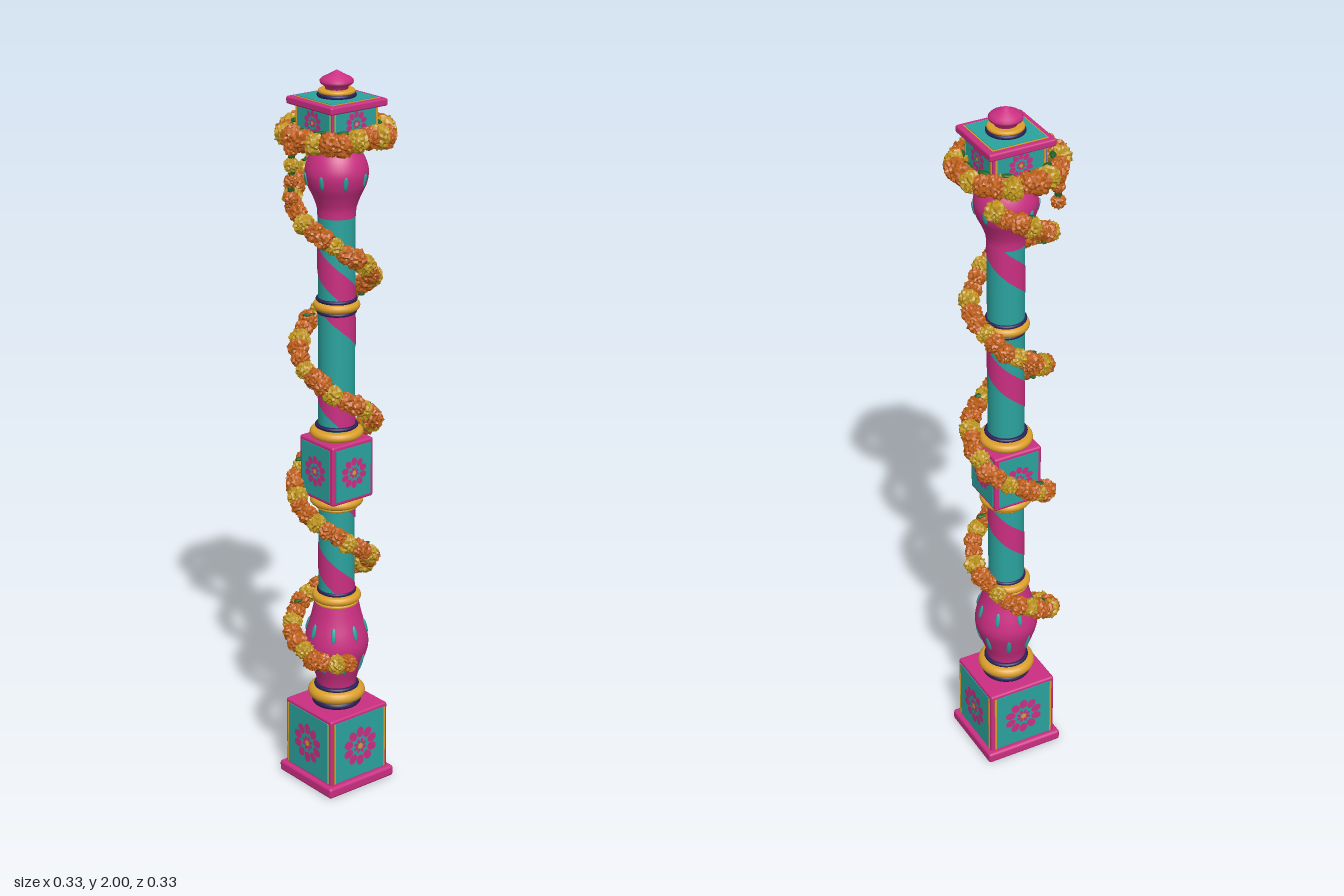
import * as THREE from 'three';
import { mergeGeometries } from 'three/addons/utils/BufferGeometryUtils.js';
import { RoundedBoxGeometry } from 'three/addons/geometries/RoundedBoxGeometry.js';

const mat = (name, color, flat = false) => {
  const m = new THREE.MeshStandardMaterial({ color, flatShading: flat });
  m.name = name;
  return m;
};

export function createModel() {
  const pink = mat('pink', 0xcb2f82), teal = mat('teal', 0x2ba39e), gold = mat('gold', 0xdb9f2a);
  const navy = mat('navy', 0x2a2058);
  const orange = mat('marigold orange', 0xc06018, true), yellow = mat('marigold yellow', 0xc0961e, true);
  const green = mat('leaf green', 0x1f6128);

  const model = new THREE.Group();
  model.name = 'garlandedColumn';
  const column = new THREE.Group();
  column.name = 'column';
  column.position.set(-0.005, 0, -0.0075);
  model.add(column);

  const add = (parent, name, geo, m, x = 0, y = 0, z = 0) => {
    const mesh = new THREE.Mesh(geo, m);
    mesh.name = name;
    mesh.position.set(x, y, z);
    parent.add(mesh);
    return mesh;
  };
  const block = (name, half, y0, y1, m, r = 0.006) =>
    add(column, name, new RoundedBoxGeometry(half * 2, y1 - y0, half * 2, 2, r), m, 0, (y0 + y1) / 2);
  const lathe = (name, pts, m) =>
    add(column, name, new THREE.LatheGeometry(pts.map(p => new THREE.Vector2(...p)), 40), m);
  const smoothLathe = (name, pts, m) =>
    lathe(name, new THREE.SplineCurve(pts.map(p => new THREE.Vector2(...p))).getPoints(28).map(p => [p.x, p.y]), m);
  // Rounded moulding with a half-circle rim
  const ring = (name, y, r, h, m) => {
    const pts = [[0, y - h / 2]];
    for (let i = 0; i <= 8; i++) {
      const a = -Math.PI / 2 + Math.PI * i / 8;
      pts.push([r - h / 2 + Math.cos(a) * h / 2, y + Math.sin(a) * h / 2]);
    }
    lathe(name, [...pts, [0, y + h / 2]], m);
  };

  // Ring of flat oval petals
  const petalRing = (n, radius, length, width) => {
    const petals = [];
    for (let i = 0; i < n; i++) {
      petals.push(new THREE.CircleGeometry(1, 12).scale(length, width, 1)
        .translate(radius, 0, 0).rotateZ((i + 0.5) * 2 * Math.PI / n));
    }
    return mergeGeometries(petals);
  };

  // Painted panel, upright gold lines and rosette, repeated on four faces of a block
  const decorate = (name, half, y0, y1, rose, margin, goldLines) => {
    const h = y1 - y0 - 2 * margin, w = 2 * (half - margin);
    for (let k = 0; k < 4; k++) {
      const face = new THREE.Group();
      face.name = name + 'Face';
      face.position.y = (y0 + y1) / 2;
      face.rotation.y = k * Math.PI / 2;
      column.add(face);
      add(face, 'tealPanel', new THREE.BoxGeometry(w, h, 0.003), teal, 0, 0, half + 0.0005);
      if (goldLines) for (const s of [-1, 1])
        add(face, 'goldLine', new THREE.BoxGeometry(0.005, h, 0.003), gold, s * (w / 2 - 0.0025), 0, half + 0.0015);
      add(face, 'rosettePetals', petalRing(10, rose * 0.74, rose * 0.27, rose * 0.215), pink, 0, 0, half + 0.004);
      add(face, 'rosetteHeart', petalRing(8, rose * 0.26, rose * 0.13, rose * 0.08), pink, 0, 0, half + 0.004);
      add(face, 'rosetteCentre', new THREE.CircleGeometry(rose * 0.15, 12), gold, 0, 0, half + 0.005);
    }
  };

  // Pedestal
  block('basePlate', 0.114, 0, 0.031, pink, 0.008);
  add(column, 'baseUnderside', new THREE.BoxGeometry(0.196, 0.004, 0.196), teal, 0, 0.0015);
  block('pedestal', 0.1, 0.025, 0.228, pink);
  decorate('pedestal', 0.1, 0.025, 0.228, 0.058, 0.01, true);
  ring('pedestalNavyRing', 0.236, 0.068, 0.02, navy);
  ring('pedestalGoldRing', 0.262, 0.079, 0.034, gold);
  ring('pedestalNeck', 0.282, 0.062, 0.012, navy);

  // Swelling vases
  const lower = [[0.052, 0.28], [0.058, 0.31], [0.072, 0.35], [0.087, 0.4], [0.084, 0.44], [0.07, 0.49], [0.06, 0.535]];
  const upper = [[0.05, 1.62], [0.052, 1.645], [0.063, 1.675], [0.077, 1.705], [0.083, 1.738], [0.075, 1.77], [0.06, 1.797], [0.05, 1.82]];
  smoothLathe('lowerVase', lower, pink);
  smoothLathe('upperVase', upper, pink);
  // Slim teal leaves laid on the vases
  const leaves = (name, n, r, y, h, tilt, turn) => {
    for (let i = 0; i < n; i++) {
      const pivot = new THREE.Group();
      pivot.name = name;
      pivot.rotation.y = turn + i * 2 * Math.PI / n;
      column.add(pivot);
      const leaf = add(pivot, name, new THREE.SphereGeometry(1, 10, 8), teal, 0, y, r);
      leaf.scale.set(0.007, h, 0.004);
      leaf.rotation.x = tilt;
    }
  };
  leaves('lowerVaseLeaf', 8, 0.0765, 0.362, 0.028, 0.29, Math.PI / 8);
  leaves('lowerVaseUpperLeaf', 8, 0.0795, 0.46, 0.021, -0.28, 0);
  leaves('upperVaseLeaf', 8, 0.0815, 1.722, 0.019, 0.2, Math.PI / 8);

  // Shafts, each with a winding pink stripe
  const shaft = (y0, y1, stripeY) => {
    const r = 0.049;
    add(column, 'shaft', new THREE.CylinderGeometry(r, r, y1 - y0, 40), teal, 0, (y0 + y1) / 2);
    const geo = new THREE.PlaneGeometry(1, 1, 16, 48), p = geo.attributes.position;
    for (let i = 0; i < p.count; i++) {
      const y = y0 + (p.getY(i) + 0.5) * (y1 - y0);
      const a = 2 * Math.PI * (y - stripeY) / 0.27 - p.getX(i) * 1.85;
      p.setXYZ(i, Math.cos(a) * (r + 0.0015), y, Math.sin(a) * (r + 0.0015));
    }
    geo.computeVertexNormals();
    add(column, 'shaftStripe', geo, pink);
  };
  shaft(0.54, 0.83, 0.58);
  shaft(1.03, 1.38, 1.07);
  shaft(1.38, 1.63, 1.42);

  // Ring mouldings
  for (const [y, r] of [[0.55, 0.067], [0.833, 0.072], [1.027, 0.072], [1.38, 0.062]]) ring('goldRing', y, r, 0.024, gold);
  for (const [y, r] of [[0.534, 0.061], [0.816, 0.058], [1.806, 0.06]]) ring('thinGoldRing', y, r, 0.01, gold);
  for (const [y, r] of [[0.567, 0.054], [1.047, 0.058], [1.397, 0.055], [1.363, 0.053]]) ring('navyRing', y, r, 0.01, navy);

  // Middle block
  block('middleBlock', 0.07, 0.845, 1.013, pink);
  decorate('middleBlock', 0.07, 0.845, 1.013, 0.043, 0.011, false);

  // Capital
  ring('capitalGoldRing', 1.822, 0.064, 0.022, gold);
  block('capitalBlock', 0.075, 1.83, 1.915, pink, 0.004);
  decorate('capital', 0.075, 1.835, 1.913, 0.034, 0.005, true);
  block('capitalPlate', 0.0925, 1.91, 1.93, pink, 0.005);
  add(column, 'capitalGoldLine', new THREE.BoxGeometry(0.155, 0.004, 0.155), gold, 0, 1.9295);
  add(column, 'capitalTop', new THREE.BoxGeometry(0.148, 0.004, 0.148), teal, 0, 1.931);

  // Finial
  ring('finialNavyRing', 1.937, 0.051, 0.012, navy);
  ring('finialGoldRing', 1.946, 0.048, 0.012, gold);
  lathe('finial', [[0.028, 1.945], [0.03, 1.958], [0.042, 1.966], [0.044, 1.973], [0.038, 1.98], [0.018, 1.99], [0.006, 1.997], [0, 2]], pink);

  // Ruffled marigold heads, strung along curves
  let seed = 7;
  const rand = () => (seed = (seed * 16807) % 2147483647) / 2147483647;
  const heads = { orange: [], yellow: [] };
  const head = (pos, r, colour) => {
    const g = new THREE.IcosahedronGeometry(1, 4), p = g.attributes.position, v = new THREE.Vector3();
    const ph = rand() * 6;
    for (let i = 0; i < p.count; i++) {
      v.fromBufferAttribute(p, i);
      const k = 0.92 + 0.11 * Math.sin(v.x * 11 + ph) * Math.sin(v.y * 11 + ph * 2) + 0.09 * Math.sin(v.z * 16 + v.x * 12 + ph);
      v.multiplyScalar(r * k);
      p.setXYZ(i, v.x, v.y, v.z);
    }
    g.rotateX(rand() * 6).rotateY(rand() * 6).translate(pos.x, pos.y, pos.z);
    g.computeVertexNormals();
    heads[colour].push(g);
  };
  const string = (name, curve, spacing, r, jitter) => {
    add(model, name + 'Stem', new THREE.TubeGeometry(curve, 160, 0.009, 6), green);
    const n = Math.round(curve.getLength() / spacing);
    const j = () => (rand() - 0.5) * jitter;
    for (let i = 0; i <= n; i++) {
      const p = curve.getPointAt(i / n);
      head(p.add(new THREE.Vector3(j(), j(), j())), r * (0.9 + rand() * 0.2), i % 3 === 1 ? 'yellow' : 'orange');
    }
  };
  const garlandLeaf = (x, y, z, turn) => {
    const leaf = add(model, 'garlandLeaf', new THREE.SphereGeometry(1, 8, 6), green, x, y, z);
    leaf.scale.set(0.009, 0.005, 0.02);
    leaf.rotation.y = turn;
  };

  // Garland winding up the column, swinging wider around vases and block
  const path = [];
  for (let a = 0.35; a <= 7.25 * Math.PI; a += 0.2) {
    const y = Math.max(0.32 + 0.4 * a / (2 * Math.PI), 0.383 + 0.012 * a);
    let r = 0.095;
    for (const c of [0.44, 0.93, 1.72]) r += 0.022 * Math.exp(-(((y - c) / 0.1) ** 2));
    path.push(new THREE.Vector3(r * Math.cos(a) - 0.006, y, r * Math.sin(a) - 0.003));
  }
  const winding = new THREE.CatmullRomCurve3(path);
  string('windingGarland', winding, 0.034, 0.0275, 0.008);

  // Garland around the capital
  const loop = [];
  for (let i = 0; i < 32; i++) {
    const a = i * Math.PI / 16;
    loop.push(new THREE.Vector3(Math.cos(a) * 0.13, 1.842 + 0.006 * Math.cos(4 * a), Math.sin(a) * 0.13));
  }
  string('capitalGarland', new THREE.CatmullRomCurve3(loop, true), 0.036, 0.031, 0.008);

  // Short tassel hanging in front
  string('tassel', new THREE.LineCurve3(new THREE.Vector3(0, 1.82, 0.142), new THREE.Vector3(0, 1.695, 0.146)), 0.042, 0.019, 0.003);

  add(model, 'orangeMarigolds', mergeGeometries(heads.orange), orange);
  add(model, 'yellowMarigolds', mergeGeometries(heads.yellow), yellow);

  // Leaves tucked between the flowers
  for (let i = 0; i < 12; i++) {
    const a = i * Math.PI / 6 + 0.5;
    garlandLeaf(Math.cos(a) * 0.112, 1.864, Math.sin(a) * 0.112, -a);
  }
  for (let i = 0; i < 14; i++) {
    const p = winding.getPointAt((i + 0.5) / 14);
    garlandLeaf(p.x * 0.95, p.y + (i % 2 ? 0.024 : -0.024), p.z * 0.95, Math.atan2(p.x, p.z) + 1.2);
  }
  return model;
}
